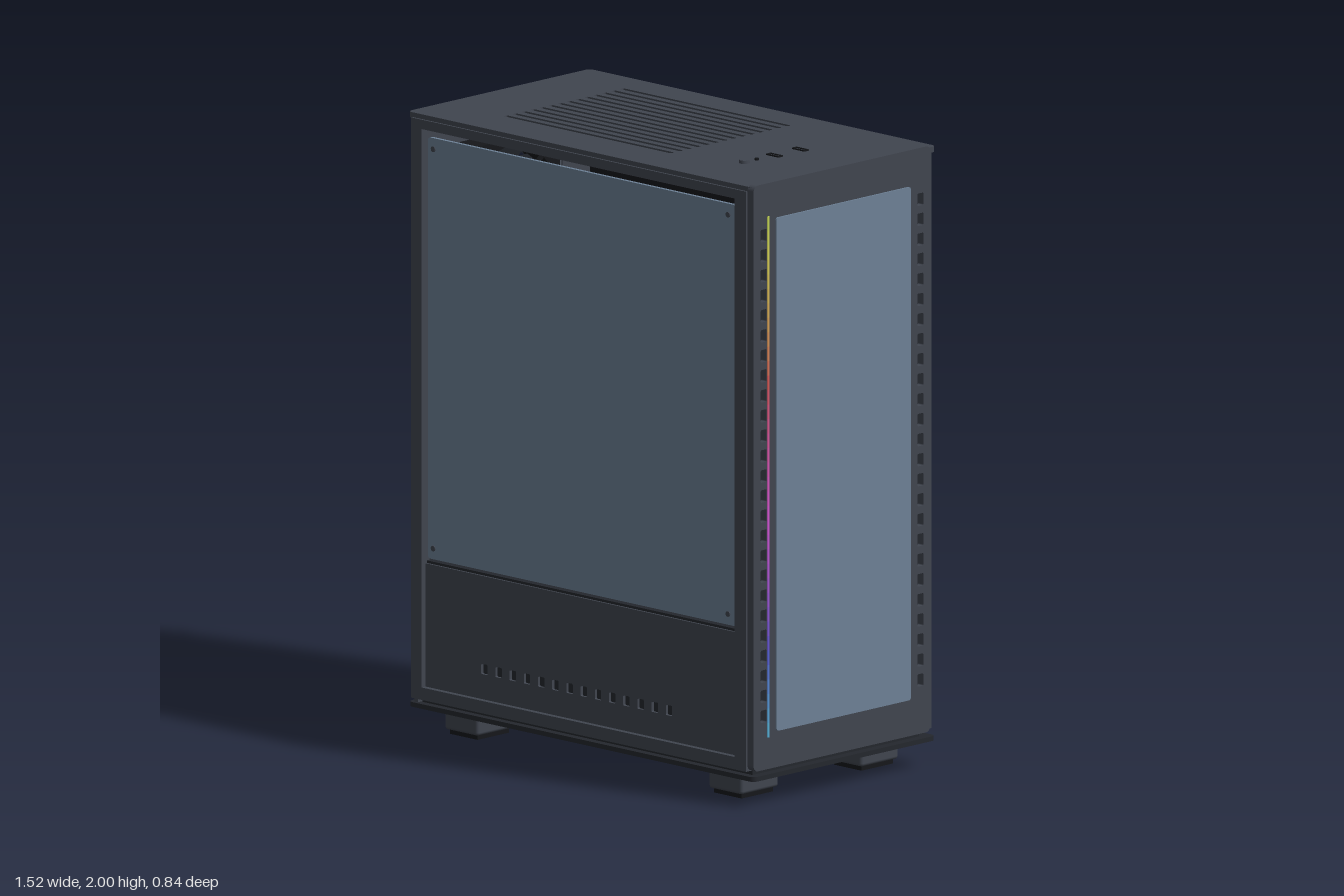
import * as THREE from 'three';
import { RoundedBoxGeometry } from 'three/addons/geometries/RoundedBoxGeometry.js';

const mat = (color) => new THREE.MeshStandardMaterial({ color });
const steel = mat(0x40454f), dark = mat(0x24272d), glass = mat(0x6d8196), black = mat(0x15171a);

function add(parent, name, geometry, material, x = 0, y = 0, z = 0) {
  const mesh = new THREE.Mesh(geometry, material);
  mesh.name = name;
  mesh.position.set(x, y, z);
  parent.add(mesh);
  return mesh;
}

// Box given by its limits on each axis
function box(parent, name, material, x0, x1, y0, y1, z0, z1) {
  return add(parent, name, new THREE.BoxGeometry(x1 - x0, y1 - y0, z1 - z0), material,
    (x0 + x1) / 2, (y0 + y1) / 2, (z0 + z1) / 2);
}

// Rounded rectangle outline, also used for holes
function rect(u0, u1, v0, v1, r = 0, Type = THREE.Shape) {
  const s = new Type();
  if (r === 0) {
    s.moveTo(u0, v0).lineTo(u1, v0).lineTo(u1, v1).lineTo(u0, v1).closePath();
    return s;
  }
  s.moveTo(u0 + r, v0).lineTo(u1 - r, v0);
  s.absarc(u1 - r, v0 + r, r, -Math.PI / 2, 0);
  s.lineTo(u1, v1 - r).absarc(u1 - r, v1 - r, r, 0, Math.PI / 2);
  s.lineTo(u0 + r, v1).absarc(u0 + r, v1 - r, r, Math.PI / 2, Math.PI);
  s.lineTo(u0, v0 + r).absarc(u0 + r, v0 + r, r, Math.PI, Math.PI * 1.5);
  return s;
}
const hole = (u0, u1, v0, v1, r = 0) => rect(u0, u1, v0, v1, r, THREE.Path);
const circle = (u, v, r, Type = THREE.Path) => new Type().absarc(u, v, r, 0, Math.PI * 2);

// Sheet facing along z (u = x), along x (u = -z, v = y) or along y (u = x, v = -z)
function sheet(parent, name, material, axis, at, depth, outline, holes = []) {
  outline.holes.push(...holes);
  const g = new THREE.ExtrudeGeometry(outline, { depth, bevelEnabled: false, curveSegments: 20 });
  if (axis === 'x') g.rotateY(Math.PI / 2);
  if (axis === 'y') g.rotateX(-Math.PI / 2);
  const pos = { x: [at, 0, 0], y: [0, at, 0], z: [0, 0, at] }[axis];
  return add(parent, name, g, material, ...pos);
}

function makeFan() {
  const fan = new THREE.Group();
  fan.name = 'rearFan';
  sheet(fan, 'fanFrame', black, 'x', 0, 0.09, rect(-0.215, 0.215, -0.215, 0.215, 0.03), [circle(0, 0, 0.195)]);
  const hub = add(fan, 'fanHub', new THREE.CylinderGeometry(0.07, 0.07, 0.06, 32), black, 0.05);
  hub.rotation.z = Math.PI / 2;
  // Curved, pitched blades
  const blade = new THREE.PlaneGeometry(0.13, 0.085, 6, 3);
  const p = blade.attributes.position;
  for (let i = 0; i < p.count; i++) {
    const t = (p.getX(i) + 0.065) / 0.13, w = p.getY(i) * (0.65 + 0.45 * t);
    const r = 0.06 + 0.13 * t, a = w / r * 0.8 + 0.45 * t * t;
    p.setXYZ(i, 0.05 + w * 0.5, r * Math.sin(a), r * Math.cos(a));
  }
  blade.computeVertexNormals();
  const bladeMat = mat(0x1b1e23);
  bladeMat.side = THREE.DoubleSide;
  for (let i = 0; i < 9; i++) add(fan, 'fanBlade', blade, bladeMat).rotation.x = i * Math.PI * 2 / 9;
  // Struts carrying the motor
  for (let i = 0; i < 4; i++) {
    const strut = new THREE.BoxGeometry(0.01, 0.14, 0.014).translate(0, 0.13, 0);
    add(fan, 'fanStrut', strut, black, 0.085).rotation.x = Math.PI / 4 + i * Math.PI / 2;
  }
  return fan;
}

export function createModel() {
  const model = new THREE.Group();
  model.name = 'computerCase';

  // Base plate, floor and feet
  sheet(model, 'basePlate', dark, 'y', 0.085, 0.015, rect(-0.76, 0.75, -0.41, 0.405, 0.02));
  box(model, 'floor', dark, -0.72, 0.72, 0.1, 0.125, -0.36, 0.385);
  for (const x of [-0.59, 0.563]) for (const z of [0.263, -0.272]) {
    add(model, 'foot', new RoundedBoxGeometry(0.145, 0.07, 0.167, 2, 0.01), steel, x, 0.05, z);
    box(model, 'footPad', black, x - 0.06, x + 0.06, 0, 0.016, z - 0.07, z + 0.07);
  }

  // Top plate with long vent slots
  const topSlots = [];
  for (let i = 0; i < 14; i++) {
    const v = 0.28 - i * 0.04;
    topSlots.push(hole(-0.5, 0.23, v - 0.008, v + 0.008, 0.004));
  }
  sheet(model, 'topPlate', steel, 'y', 1.972, 0.018, rect(-0.763, 0.752, -0.408, 0.405, 0.02), topSlots);
  box(model, 'topFilter', dark, -0.53, 0.26, 1.965, 1.974, -0.31, 0.27);

  // Ports and buttons
  for (const z of [-0.07, 0.045]) {
    sheet(model, 'portRim', black, 'y', 1.985, 0.009,
      rect(0.457, 0.513, -z - 0.011, -z + 0.011, 0.003), [hole(0.463, 0.507, -z - 0.006, -z + 0.006)]);
    box(model, 'portTongue', steel, 0.468, 0.502, 1.985, 1.992, z - 0.003, z + 0.002);
  }
  add(model, 'resetButton', new THREE.CylinderGeometry(0.007, 0.007, 0.012, 16), black, 0.485, 1.99, 0.125);
  add(model, 'powerButton', new THREE.CylinderGeometry(0.016, 0.018, 0.014, 24), steel, 0.485, 1.993, 0.18);

  // Windowed side: frame, glass and lower shroud with vents
  sheet(model, 'sideFrame', steel, 'z', 0.38, 0.035, rect(-0.74, 0.722, 0.115, 1.975), [hole(-0.695, 0.672, 0.155, 1.945)]);
  sheet(model, 'sideGlass', glass, 'z', 0.39, 0.012, rect(-0.68, 0.665, 0.57, 1.92, 0.012));
  for (const x of [-0.655, 0.632]) for (const y of [0.605, 1.885]) {
    const screw = add(model, 'glassScrew', new THREE.CylinderGeometry(0.009, 0.009, 0.005, 16), steel, x, y, 0.403);
    screw.rotation.x = Math.PI / 2;
  }
  const sideVents = [];
  for (let i = 0; i < 14; i++) {
    const x = -0.438 + i * 0.062;
    sideVents.push(hole(x - 0.014, x + 0.014, 0.235, 0.268, 0.004));
  }
  sheet(model, 'shroudFront', steel, 'z', 0.385, 0.012, rect(-0.695, 0.672, 0.155, 0.55), sideVents);
  box(model, 'shroudVentBacking', dark, -0.48, 0.4, 0.215, 0.29, 0.378, 0.387);
  box(model, 'shroudTop', dark, -0.72, 0.7, 0.545, 0.558, -0.37, 0.39);

  // Solid side panel with thumbscrews
  box(model, 'solidSidePanel', steel, -0.745, 0.735, 0.122, 1.972, -0.4, -0.383);
  box(model, 'sidePanelSeam', black, -0.73, 0.728, 0.135, 1.97, -0.383, -0.368);
  for (const y of [0.255, 1.845]) {
    const screw = add(model, 'thumbscrew', new THREE.CylinderGeometry(0.015, 0.015, 0.02, 16), black, -0.71, y, -0.414);
    screw.rotation.x = Math.PI / 2;
    const stem = add(model, 'thumbscrewStem', new THREE.CylinderGeometry(0.009, 0.009, 0.012, 12), black, -0.71, y, -0.402);
    stem.rotation.x = Math.PI / 2;
  }

  // Intake panel with two columns of vents and a glass window
  const intakeVents = [];
  for (let i = 0; i < 25; i++) for (const z of [0.367, -0.333]) {
    const y = 0.29 + i * 0.0642;
    intakeVents.push(hole(-z - 0.013, -z + 0.013, y - 0.02, y + 0.02, 0.004));
  }
  sheet(model, 'intakePanel', steel, 'x', 0.725, 0.027, rect(-0.412, 0.378, 0.118, 1.996, 0.02), intakeVents);
  box(model, 'intakeBacking', dark, 0.715, 0.73, 0.13, 1.97, -0.37, 0.395);
  sheet(model, 'intakeGlass', glass, 'x', 0.745, 0.013, rect(-0.315, 0.285, 0.235, 1.88, 0.01));

  // Light strip running through the colours
  const steps = 36, y0 = 0.22, dy = 1.67 / steps;
  for (let i = 0; i < steps; i++) {
    const hue = (0.57 + 0.63 * i / (steps - 1)) % 1;
    box(model, 'lightStrip', mat(new THREE.Color().setHSL(hue, 0.75, 0.36)),
      0.745, 0.755, y0 + i * dy, y0 + (i + 1) * dy, 0.344, 0.352);
  }

  // Rear panel with fan, port, slot and power supply openings
  sheet(model, 'rearPanel', steel, 'x', -0.74, 0.015, rect(-0.4, 0.385, 0.1, 1.975), [
    circle(-0.07, 1.65, 0.2),
    hole(0.125, 0.245, 1.26, 1.81),
    hole(-0.14, 0.235, 0.645, 1.045),
    hole(-0.27, 0.235, 0.17, 0.47),
  ]);
  sheet(model, 'portOpeningRim', steel, 'x', -0.747, 0.012, rect(0.115, 0.255, 1.25, 1.82), [hole(0.125, 0.245, 1.26, 1.81)]);
  box(model, 'portCover', mat(0x4a505a), -0.735, -0.728, 1.25, 1.82, -0.25, -0.12);
  const fan = makeFan();
  fan.position.set(-0.727, 1.65, 0.07);
  model.add(fan);

  // Perforated expansion slot covers
  for (let i = 0; i < 7; i++) {
    const y = 0.648 + i * 0.057, holes = [];
    for (let k = 0; k < 12; k++) for (const h of [0.012, 0.03]) {
      const u = -0.09 + k * 0.026;
      holes.push(hole(u, u + 0.016, y + h, y + h + 0.01));
    }
    sheet(model, 'slotCover', steel, 'x', -0.748, 0.012, rect(-0.11, 0.235, y, y + 0.05), holes);
  }
  sheet(model, 'slotBracket', steel, 'x', -0.75, 0.014, rect(-0.15, -0.115, 0.64, 1.05));

  // Power supply bay lining
  box(model, 'bayInnerWall', steel, -0.725, 0.7, 0.125, 0.545, -0.368, -0.36);
  return model;
}
